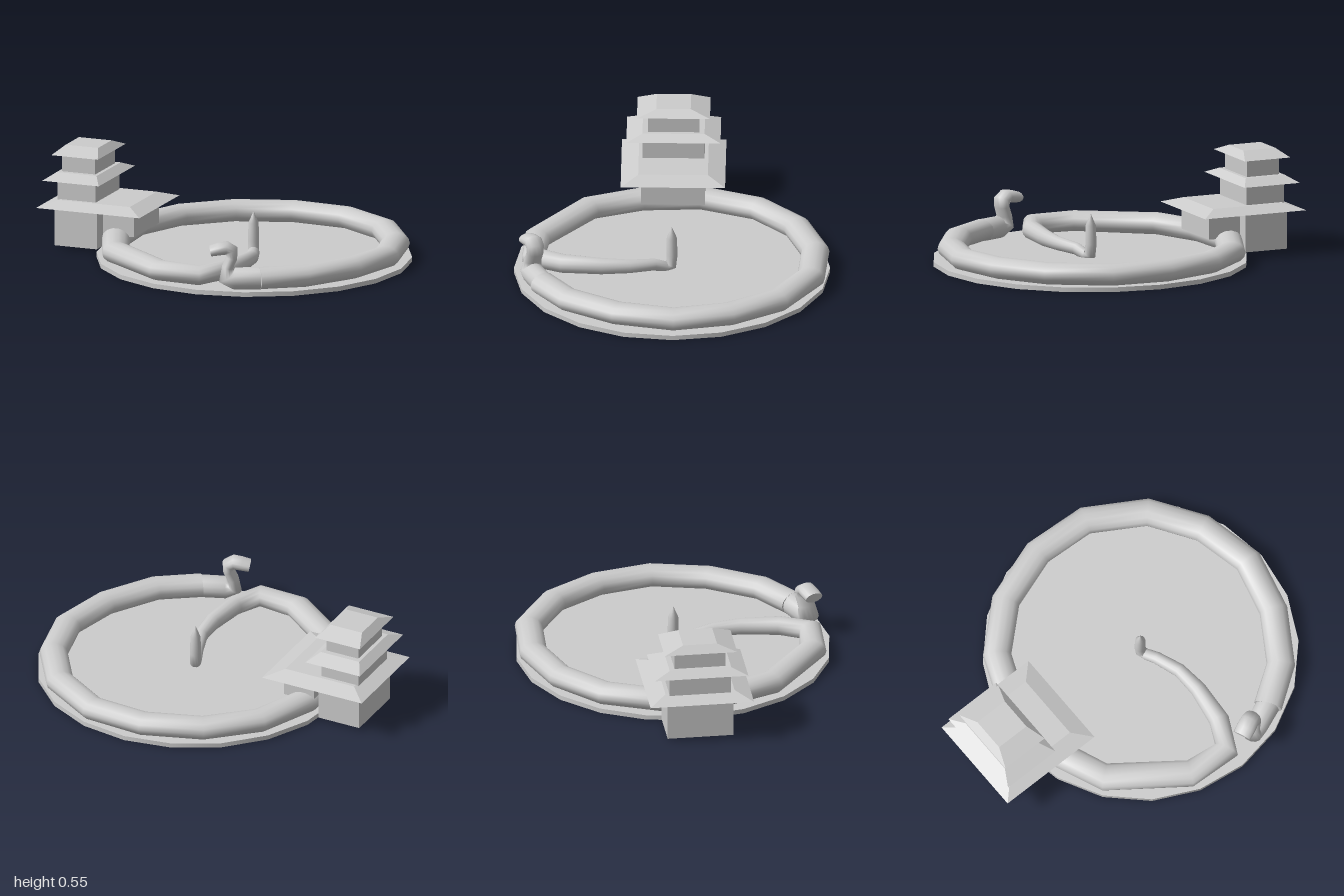
import * as THREE from 'three';

const material = new THREE.MeshStandardMaterial({ color: 0xcccccc });

function add(parent, name, geometry, x = 0, y = 0, z = 0) {
  const mesh = new THREE.Mesh(geometry, material);
  mesh.name = name;
  mesh.position.set(x, y, z);
  parent.add(mesh);
  return mesh;
}

// Sweep an ellipse along points [x, y, z, halfWidth, halfHeight], with capped ends
function sweep(points, fixedSide, sides = 14) {
  const centres = points.map((p) => new THREE.Vector3(p[0], p[1], p[2]));
  const last = points.length - 1;
  const pos = [], index = [], rings = [];
  let side = fixedSide;
  points.forEach(([, , , w, h], i) => {
    const t = centres[Math.min(i + 1, last)].clone().sub(centres[Math.max(i - 1, 0)]).normalize();
    if (!fixedSide && (!side || Math.hypot(t.x, t.z) > 0.5)) side = new THREE.Vector3(t.z, 0, -t.x).normalize();
    const up = t.clone().cross(side).normalize();
    const ring = [];
    for (let j = 0; j < sides; j++) {
      const a = (j / sides) * Math.PI * 2;
      ring.push(centres[i].clone().addScaledVector(side, Math.cos(a) * w).addScaledVector(up, Math.sin(a) * h));
    }
    rings.push(ring);
    ring.forEach((v) => pos.push(v.x, v.y, v.z));
  });
  for (let i = 0; i < last; i++) {
    for (let j = 0; j < sides; j++) {
      const k = (j + 1) % sides;
      const a = i * sides + j, b = i * sides + k, c = a + sides, d = b + sides;
      index.push(a, b, c, b, d, c);
    }
  }
  for (const end of [0, last]) {
    const base = pos.length / 3;
    [centres[end], ...rings[end]].forEach((v) => pos.push(v.x, v.y, v.z));
    for (let j = 0; j < sides; j++) {
      const a = base + 1 + j, b = base + 1 + ((j + 1) % sides);
      if (end === 0) index.push(base, b, a);
      else index.push(base, a, b);
    }
  }
  const geometry = new THREE.BufferGeometry();
  geometry.setAttribute('position', new THREE.Float32BufferAttribute(pos, 3));
  geometry.setIndex(index);
  geometry.computeVertexNormals();
  return geometry;
}

// Hipped roof: a box whose top face is drawn in
function roof(w, d, topW, topD, h) {
  const geometry = new THREE.BoxGeometry(w, h, d);
  const p = geometry.attributes.position;
  for (let i = 0; i < p.count; i++) {
    if (p.getY(i) > 0) p.setXYZ(i, p.getX(i) * topW / w, p.getY(i), p.getZ(i) * topD / d);
  }
  geometry.computeVertexNormals();
  return geometry;
}

export function createModel() {
  const model = new THREE.Group();
  model.name = 'serpentAndPagoda';

  // Low round base
  const disc = new THREE.CylinderGeometry(0.84, 0.84, 0.025, 20);
  add(model, 'baseDisc', disc, 0.16, 0.0125, 0).rotation.y = -0.06;

  // Body coiling round the rim, then the tail turning inward and up
  const R = 0.076, H = 0.058;
  const coil = [
    [0.19, 0.752], [0.43, 0.7], [0.68, 0.52], [0.86, 0.27], [0.91, -0.03], [0.85, -0.33], [0.65, -0.6],
    [0.37, -0.735], [0.05, -0.755], [-0.24, -0.65], [-0.47, -0.42], [-0.575, -0.12], [-0.575, 0.18],
  ].map(([x, z]) => [x, 0.082, z, R, H]);
  const tail = [
    [-0.34, 0.08, 0.57, 0.075, 0.054], [-0.13, 0.078, 0.675, 0.068, 0.052], [0, 0.078, 0.56, 0.055, 0.05],
    [0.1, 0.075, 0.38, 0.044, 0.045], [0.148, 0.07, 0.24, 0.037, 0.037], [0.156, 0.06, 0.1, 0.033, 0.032],
    [0.156, 0.035, 0.035, 0.03, 0.03], [0.156, 0.04, 0.004, 0.03, 0.03], [0.156, 0.1, -0.002, 0.03, 0.03],
    [0.156, 0.2, 0, 0.027, 0.027], [0.156, 0.262, 0, 0.001, 0.001],
  ];
  add(model, 'serpentBody', sweep([...coil, ...tail]));

  // Neck rising in an S, ending in a blunt head
  const neck = [
    [0.2, 0.08, 0.75, 0.064, 0.06], [0.06, 0.078, 0.75, 0.062, 0.06], [0.015, 0.085, 0.748, 0.06, 0.045],
    [0.022, 0.14, 0.742, 0.05, 0.03], [0.045, 0.19, 0.738, 0.048, 0.03], [0.045, 0.228, 0.736, 0.05, 0.036],
    [0.018, 0.243, 0.735, 0.05, 0.036], [-0.025, 0.236, 0.735, 0.052, 0.033], [-0.068, 0.226, 0.735, 0.05, 0.029],
  ];
  add(model, 'serpentNeckAndHead', sweep(neck, new THREE.Vector3(0, 0, 1)));

  // Pagoda turned on the rim
  const pagoda = new THREE.Group();
  pagoda.name = 'pagoda';
  pagoda.position.set(-0.722, 0, -0.36);
  pagoda.rotation.y = -0.39;
  model.add(pagoda);

  // Storeys: [name, width, depth, bottom, top, x]
  for (const [name, w, d, y0, y1, x] of [
    ['groundStorey', 0.243, 0.354, 0.015, 0.245, 0],
    ['middleStorey', 0.22, 0.33, 0.25, 0.39, 0],
    ['topStorey', 0.19, 0.273, 0.4, 0.52, 0],
    ['annex', 0.18, 0.34, 0.1, 0.245, 0.243],
  ]) add(pagoda, name, new THREE.BoxGeometry(w, y1 - y0, d), x, (y0 + y1) / 2, 0);

  // Roofs: [name, width, depth, top width, top depth, bottom, top, x]
  for (const [name, w, d, tw, td, y0, y1, x] of [
    ['lowerRoof', 0.595, 0.555, 0.41, 0.37, 0.235, 0.267, 0.11],
    ['middleRoof', 0.325, 0.5, 0.23, 0.33, 0.38, 0.413, 0],
    ['topRoof', 0.267, 0.388, 0.187, 0.182, 0.51, 0.548, 0],
  ]) add(pagoda, name, roof(w, d, tw, td, y1 - y0), x, (y0 + y1) / 2, 0);

  return model;
}
